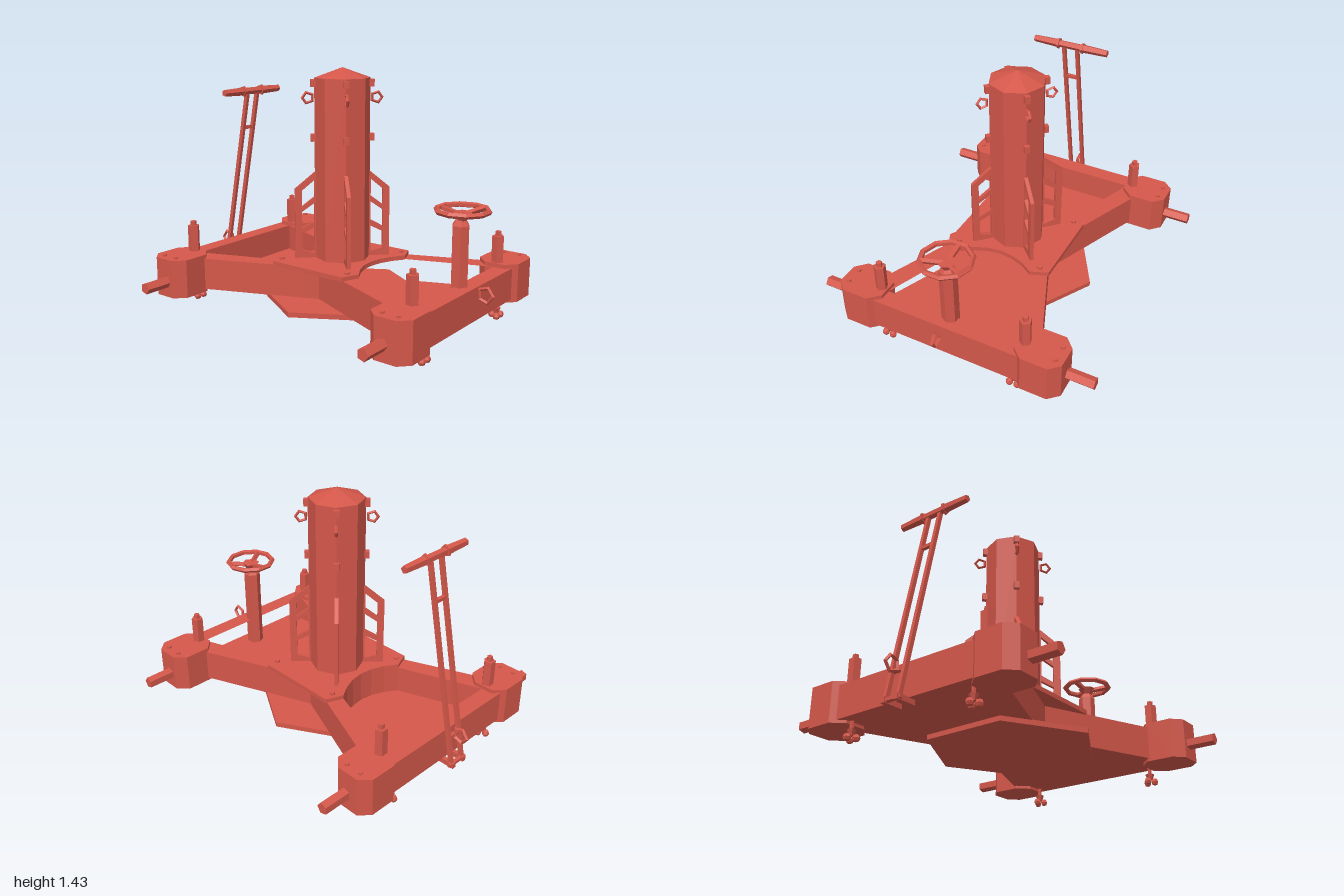
import * as THREE from 'three';

const red = new THREE.MeshStandardMaterial({ color: 0xd4574a, flatShading: true });
red.name = 'red paint';

export function createModel() {
  const model = new THREE.Group();
  model.name = 'wheeledColumnRig';

  const add = (name, geo, x = 0, y = 0, z = 0, parent = model) => {
    const m = new THREE.Mesh(geo, red);
    m.name = name;
    m.position.set(x, y, z);
    parent.add(m);
    return m;
  };
  const box = (w, h, d) => new THREE.BoxGeometry(w, h, d);
  const cyl = (rTop, rBottom, h, n) => new THREE.CylinderGeometry(rTop, rBottom, h, n);
  const vec = (p) => new THREE.Vector2(p[0], p[1]);

  // Horizontal slab from an x/z outline, hanging down from yTop
  const slab = (name, outline, yTop, h, holes = [], parent = model) => {
    const shape = new THREE.Shape(outline.map(vec));
    holes.forEach((o) => shape.holes.push(new THREE.Path(o.map(vec))));
    const geo = new THREE.ExtrudeGeometry(shape, { depth: h, bevelEnabled: false });
    geo.rotateX(Math.PI / 2);
    return add(name, geo, 0, yTop, 0, parent);
  };
  // Bar whose length runs from a to b
  const bar = (name, a, b, w, d, parent = model) => {
    const p = new THREE.Vector3(...a), q = new THREE.Vector3(...b);
    const m = add(name, box(w, p.distanceTo(q), d), 0, 0, 0, parent);
    m.position.copy(p).add(q).multiplyScalar(0.5);
    m.quaternion.setFromUnitVectors(new THREE.Vector3(0, 1, 0), q.sub(p).normalize());
    return m;
  };

  // Concave edge shared by the deck and the trays, from x = 0.23 to -0.23
  const arc = (s) => [0.23, 0.155, 0.078, 0, -0.078, -0.155, -0.23]
    .map((x) => [x, s * (0.205 + 0.085 * (x / 0.23) ** 2)]);

  // Hourglass chassis with a tray at each end
  const outline = [
    [0.45, 0.875], [0.49, 0.66], [0.22, 0], [0.49, -0.66], [0.45, -0.875],
    [-0.45, -0.875], [-0.49, -0.66], [-0.22, 0], [-0.49, 0.66], [-0.45, 0.875],
  ];
  const tray = (s) => [[0.41, s * 0.775], ...arc(s), [-0.41, s * 0.775]];
  slab('chassisWalls', outline, 0.302, 0.165, [tray(1), tray(-1)]);
  slab('chassisFloor', outline, 0.139, 0.024);

  // Hexagonal belly plate
  const belly = [];
  for (let i = 0; i < 6; i++) belly.push([0.49 * Math.cos(i * Math.PI / 3), 0.49 * Math.sin(i * Math.PI / 3)]);
  slab('bellyPlate', belly, 0.117, 0.029);

  // Deck under the column, with bolts
  slab('deck', [[0.33, 0.25], ...arc(1), [-0.33, 0.25], [-0.33, -0.25], ...arc(-1).reverse(), [0.33, -0.25]],
    0.325, 0.026);
  for (const sx of [1, -1]) for (const sz of [1, -1]) {
    add('deckBolt', cyl(0.015, 0.015, 0.014, 6), sx * 0.267, 0.33, sz * 0.237);
  }

  // Octagonal column and pointed cap
  add('column', cyl(0.16, 0.16, 1.045, 8), 0, 0.8475, 0);
  add('columnCap', cyl(0, 0.16, 0.057, 8), 0, 1.3985, 0);

  // Windowed buttress profile: radius across, height up
  const brace = new THREE.Shape([[0.15, 0.32], [0.276, 0.32], [0.276, 0.735], [0.15, 0.84]].map(vec));
  for (const [a, b, c, d] of [[0.37, 0.35, 0.47, 0.505], [0.5, 0.54, 0.6, 0.65], [0.63, 0.685, 0.725, 0.785]]) {
    brace.holes.push(new THREE.Path([[0.165, b], [0.236, a], [0.236, c], [0.165, d]].map(vec)));
  }
  const braceGeo = new THREE.ExtrudeGeometry(brace, { depth: 0.022, bevelEnabled: false });
  braceGeo.translate(0, 0, -0.011);

  // Buttresses, lugs and lifting rings on the four diagonals
  for (let i = 0; i < 4; i++) {
    const side = new THREE.Group();
    side.name = 'columnSide';
    side.rotation.y = Math.PI / 4 + i * Math.PI / 2;
    model.add(side);
    add('buttress', braceGeo, 0, 0, 0, side);
    for (const y of [1.03, 1.34]) add('columnLug', box(0.035, 0.042, 0.03), 0.165, y, 0, side);
    add('liftingRing', new THREE.TorusGeometry(0.031, 0.009, 4, 5), 0.197, 1.258, 0, side);
  }

  // Corner blocks, each with its axle, post, bolts and clamp knob
  const block = [[0.41, 0.72], [0.475, 0.655], [0.63, 0.655], [0.688, 0.715],
    [0.688, 0.845], [0.63, 0.9], [0.475, 0.9], [0.41, 0.84]];
  for (const sx of [1, -1]) for (const sz of [1, -1]) {
    const corner = new THREE.Group();
    corner.name = 'cornerAssembly';
    model.add(corner);
    slab('cornerBlock', block.map(([x, z]) => [sx * x, sz * z]), 0.325, 0.227, [], corner);
    const axle = add('axle', cyl(0.034, 0.034, 0.18, 5), sx * 0.757, 0.19, sz * 0.765, corner);
    axle.rotation.z = Math.PI / 2;
    add('post', cyl(0.035, 0.035, 0.17, 5), sx * 0.45, 0.395, sz * 0.78, corner);
    add('postTip', cyl(0.018, 0.018, 0.03, 5), sx * 0.45, 0.492, sz * 0.78, corner);
    for (const z of [0.73, 0.825]) add('blockBolt', cyl(0.013, 0.013, 0.014, 6), sx * 0.642, 0.329, sz * z, corner);
    add('knobStem', cyl(0.011, 0.011, 0.08, 5), sx * 0.4, 0.075, sz * 0.81, corner);
    add('knobHub', cyl(0.026, 0.014, 0.034, 6), sx * 0.4, 0.052, sz * 0.81, corner);
    for (let k = 0; k < 3; k++) {
      const a = k * Math.PI * 2 / 3 + Math.PI / 6;
      add('knobLobe', new THREE.SphereGeometry(0.022, 6, 4),
        sx * 0.4 + 0.027 * Math.cos(a), 0.024, sz * 0.81 + 0.027 * Math.sin(a), corner);
    }
  }

  // Tow rings at both ends
  for (const sz of [1, -1]) {
    const ring = add('towRing', new THREE.TorusGeometry(0.044, 0.011, 4, 5), 0, 0.28, sz * 0.944);
    ring.rotation.y = sz * -Math.PI / 2;
  }

  // Handwheel on its post
  add('wheelPost', cyl(0.05, 0.05, 0.5, 6), 0, 0.385, 0.785);
  add('wheelPostTop', cyl(0.03, 0.05, 0.03, 6), 0, 0.65, 0.785);
  const wheel = new THREE.Group();
  wheel.name = 'handwheel';
  wheel.position.set(0, 0.716, 0.793);
  model.add(wheel);
  const rim = add('wheelRim', new THREE.TorusGeometry(0.14, 0.016, 5, 10), 0, 0, 0, wheel);
  rim.rotation.x = Math.PI / 2;
  add('wheelHub', cyl(0.055, 0.02, 0.05, 6), 0, -0.035, 0, wheel);
  for (let k = 0; k < 3; k++) {
    const a = k * Math.PI * 2 / 3 + Math.PI / 2 + Math.PI;
    const c = Math.cos(a), s = Math.sin(a);
    bar('wheelSpoke', [0.02 * c, -0.022, 0.02 * s], [0.138 * c, 0, 0.138 * s], 0.026, 0.02, wheel);
  }

  // Push handle leaning in from the rear beam
  const at = (t, x) => [x, 0.1 + 1.16 * t, -0.93 + 0.23 * t];
  for (const s of [1, -1]) {
    bar('handleRail', at(0, s * 0.043), at(1, s * 0.043), 0.02, 0.024);
    add('handleHinge', box(0.024, 0.03, 0.12), s * 0.043, 0.103, -0.89);
    const collar = add('gripCollar', cyl(0.033, 0.033, 0.014, 5), s * 0.078, 1.258, -0.703);
    collar.rotation.z = Math.PI / 2;
    const grip = add('gripEnd', cyl(0.026, 0.021, 0.155, 5), s * 0.16, 1.258, -0.703);
    grip.rotation.z = s * Math.PI / 2;
  }
  for (const t of [0.14, 0.8]) bar('handleRung', at(t, -0.043), at(t, 0.043), 0.02, 0.02);
  const pivot = add('handlePivot', cyl(0.015, 0.015, 0.13, 5), 0, 0.105, -0.93);
  pivot.rotation.z = Math.PI / 2;
  const gripCore = add('gripCore', cyl(0.022, 0.022, 0.17, 5), 0, 1.258, -0.703);
  gripCore.rotation.z = Math.PI / 2;

  return model;
}
